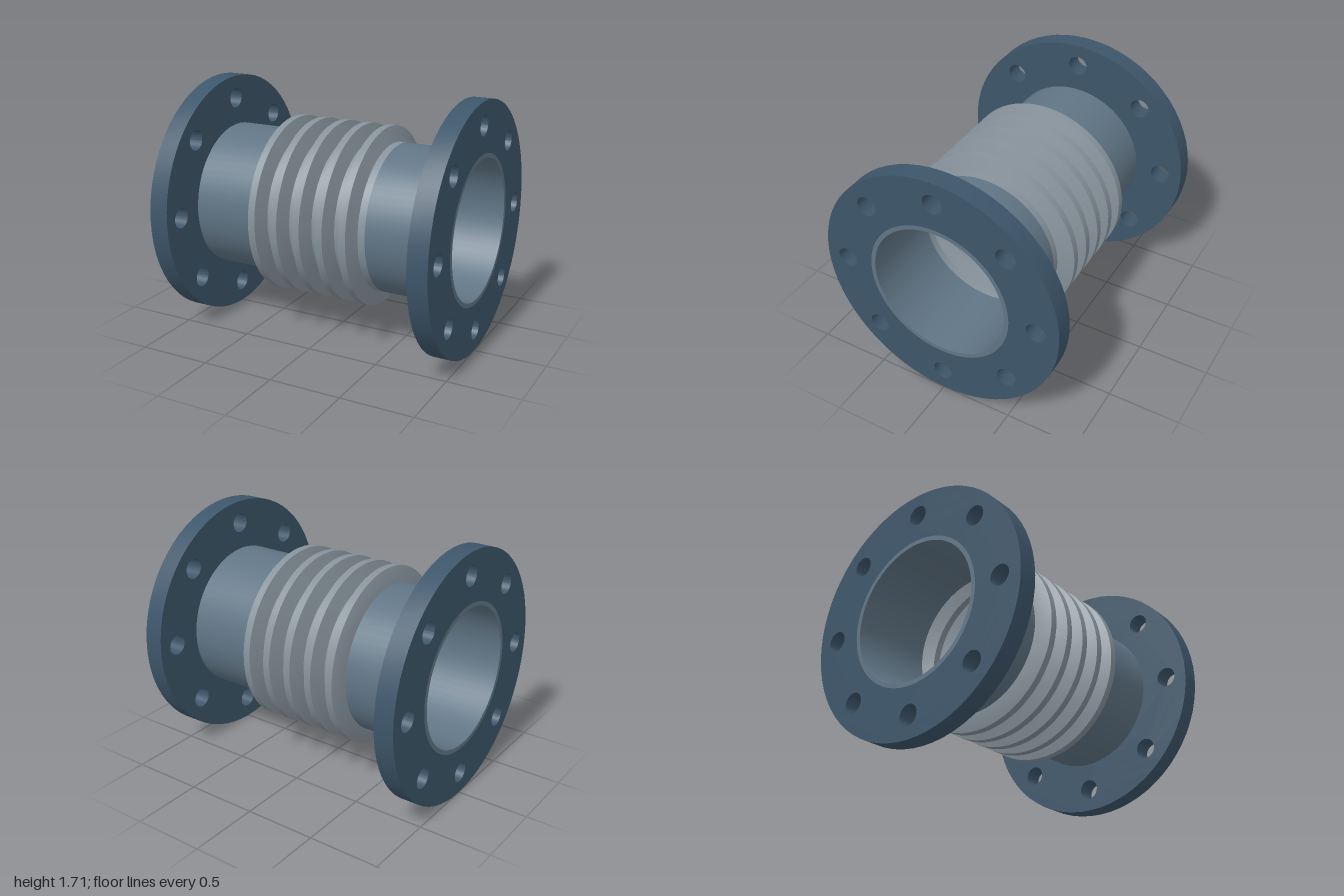
import * as THREE from 'three';
import { toCreasedNormals } from 'three/addons/utils/BufferGeometryUtils.js';

const R_FLANGE = 0.857, R_PIPE = 0.51, R_BORE = 0.48;
const FLANGE_T = 0.135, BELLOWS_HALF = 0.42, R_CREST = 0.617;
const WALL = R_PIPE - R_BORE, CREASE = 0.4;

const material = (color) => new THREE.MeshStandardMaterial({ color, side: THREE.DoubleSide });

// Closed profile of [x, radius] points revolved around the x axis
function revolve(profile) {
  const points = [...profile, profile[0]].map(([x, r]) => new THREE.Vector2(r, x));
  const geometry = new THREE.LatheGeometry(points, 64);
  geometry.rotateZ(-Math.PI / 2);
  return toCreasedNormals(geometry, CREASE);
}

function circle(PathType, x, y, r) {
  const path = new PathType();
  path.absarc(x, y, r, 0, Math.PI * 2, false);
  return path;
}

// Ring plate with eight bolt holes, facing along x
function flangeGeometry() {
  const shape = circle(THREE.Shape, 0, 0, R_FLANGE);
  shape.holes.push(circle(THREE.Path, 0, 0, R_PIPE));
  for (let i = 0; i < 8; i++) {
    const a = (i * Math.PI) / 4;
    shape.holes.push(circle(THREE.Path, 0.7 * Math.cos(a), 0.7 * Math.sin(a), 0.07));
  }
  const geometry = new THREE.ExtrudeGeometry(shape, {
    depth: FLANGE_T, bevelEnabled: false, curveSegments: 32,
  });
  geometry.translate(0, 0, -FLANGE_T / 2);
  geometry.rotateY(Math.PI / 2);
  return toCreasedNormals(geometry, CREASE);
}

// Five trapezoid corrugations, with the inner wall following the outer one
function bellowsGeometry() {
  const pitch = (2 * BELLOWS_HALF) / 5;
  const outer = [[-BELLOWS_HALF, R_PIPE]];
  for (let i = 0; i < 5; i++) {
    const x = -BELLOWS_HALF + i * pitch;
    outer.push([x + 0.2 * pitch, R_CREST], [x + 0.5 * pitch, R_CREST],
      [x + 0.7 * pitch, R_PIPE], [x + pitch, R_PIPE]);
  }
  const inner = outer.map(([x, r]) => [x, r - WALL]).reverse();
  return revolve([...outer, ...inner]);
}

export function createModel() {
  const group = new THREE.Group();
  const flangeMat = material(0x3d566a);
  const pipeMat = material(0x607585);
  const bellowsMat = material(0x87939c);

  function add(name, geometry, mat, x = 0) {
    const mesh = new THREE.Mesh(geometry, mat);
    mesh.name = name;
    mesh.position.set(x, R_FLANGE, 0);
    group.add(mesh);
  }

  add('bellows', bellowsGeometry(), bellowsMat);

  // Matching pipe stub and flange at each end
  const half = (1 - BELLOWS_HALF) / 2;
  const pipe = revolve([[-half, R_BORE], [-half, R_PIPE], [half, R_PIPE], [half, R_BORE]]);
  const flange = flangeGeometry();
  for (const [side, s] of [['left', 1], ['right', -1]]) {
    add(side + 'Pipe', pipe, pipeMat, s * (BELLOWS_HALF + half));
    add(side + 'Flange', flange, flangeMat, s * (1 - FLANGE_T / 2));
  }
  return group;
}
